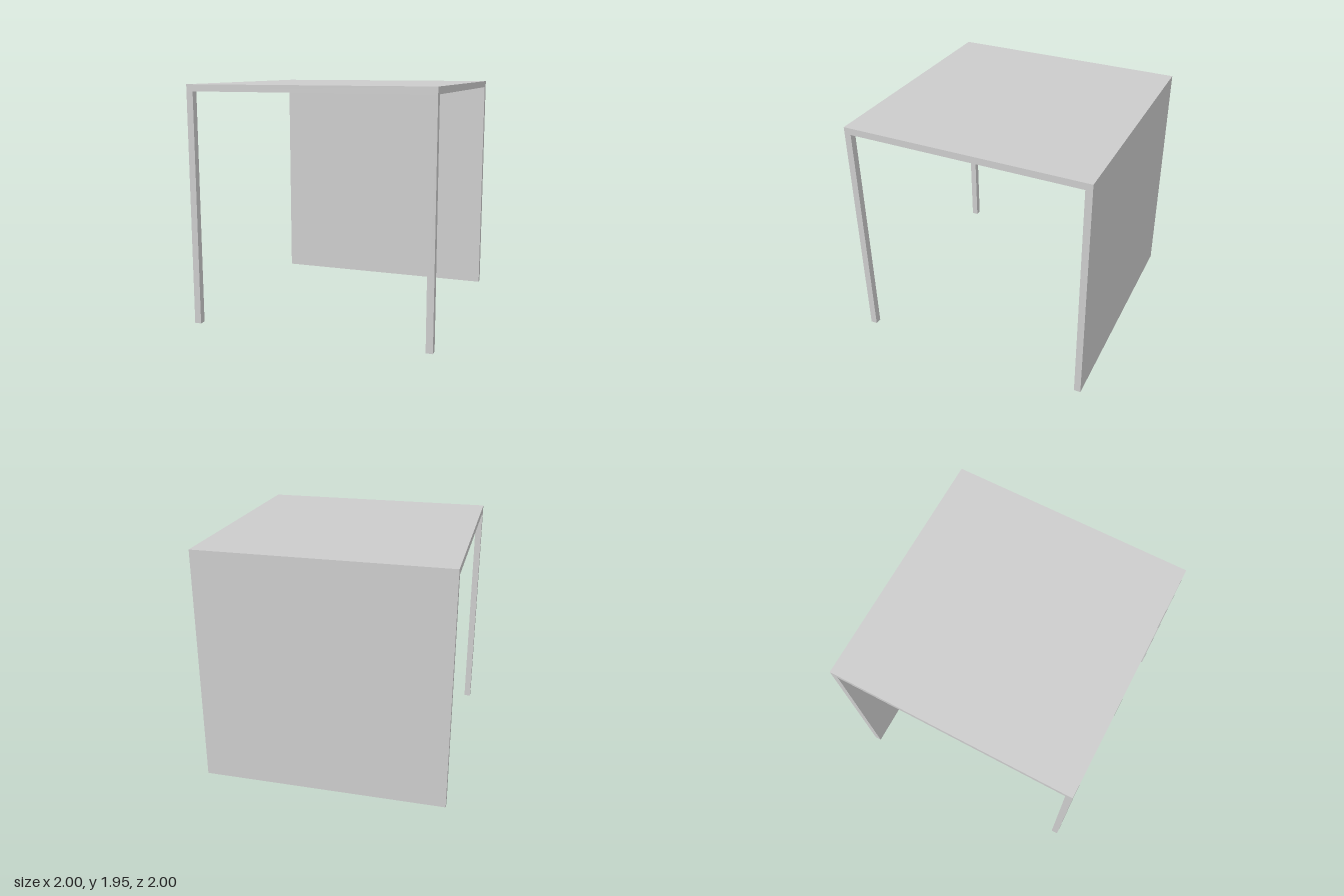
import * as THREE from 'three';

const SIZE = 2;        // width and depth
const HEIGHT = 1.945;
const T = 0.055;       // thickness of slab, panel and legs

export function createModel() {
  const model = new THREE.Group();
  model.name = 'table';
  const material = new THREE.MeshStandardMaterial({ color: 0xcccccc, flatShading: true });

  const addBox = (name, w, h, d, x, y, z) => {
    const mesh = new THREE.Mesh(new THREE.BoxGeometry(w, h, d), material);
    mesh.name = name;
    mesh.position.set(x, y, z);
    model.add(mesh);
  };

  const legHeight = HEIGHT - T;
  const edge = SIZE / 2 - T / 2;

  // Square top slab
  addBox('tableTop', SIZE, T, SIZE, 0, HEIGHT - T / 2, 0);

  // Full-width panel carrying the back edge
  addBox('backPanel', SIZE, legHeight, T, 0, legHeight / 2, -edge);

  // Slim square legs at the front corners
  for (const side of [-1, 1]) {
    addBox(side > 0 ? 'frontLegLeft' : 'frontLegRight', T, legHeight, T, side * edge, legHeight / 2, edge);
  }

  return model;
}
